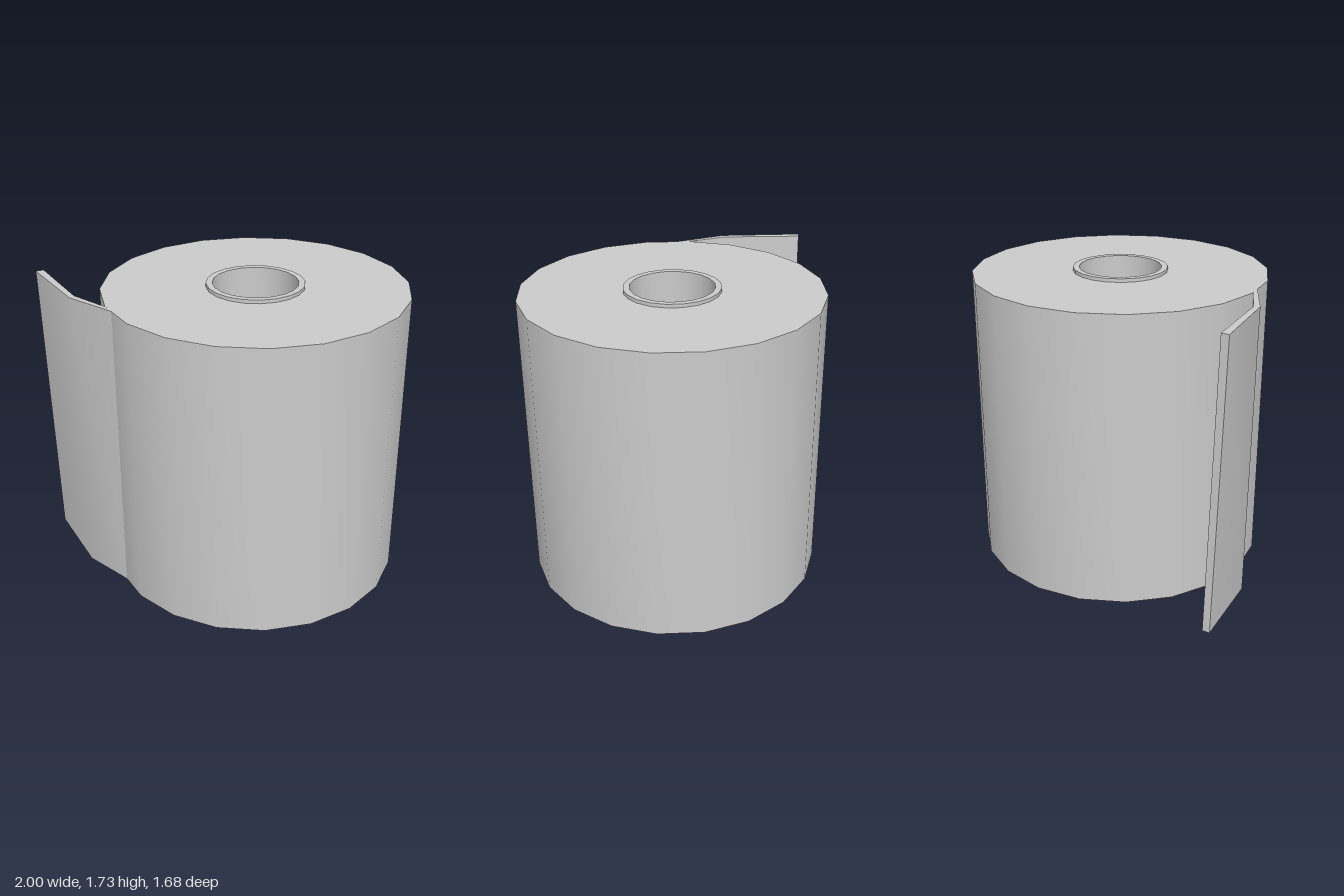
import * as THREE from 'three';
import { toCreasedNormals } from 'three/addons/utils/BufferGeometryUtils.js';

const SIDES = 20, CX = 0.16, BOTTOM = 0.025, TOP = 1.705;

// Regular polygon with a vertex on +x
function ring(radius) {
  return Array.from({ length: SIDES }, (_, i) => {
    const a = (i / SIDES) * Math.PI * 2;
    return new THREE.Vector2(radius * Math.cos(a), radius * Math.sin(a));
  });
}

// Upright prism from a plan outline, with y of the outline pointing to -z
function prism(outline, hole, y0, y1) {
  const shape = new THREE.Shape(outline);
  if (hole) shape.holes.push(new THREE.Path(hole));
  const geo = new THREE.ExtrudeGeometry(shape, { depth: y1 - y0, bevelEnabled: false });
  return geo.rotateX(-Math.PI / 2).translate(0, y0, 0);
}

export function createModel() {
  const group = new THREE.Group();
  const material = new THREE.MeshStandardMaterial({ color: 0xcccccc });
  const add = (name, geo, x = 0) => {
    const mesh = new THREE.Mesh(toCreasedNormals(geo, 0.6), material);
    mesh.name = name;
    mesh.position.x = x;
    group.add(mesh);
  };

  // Wound paper and the cardboard tube poking out at both ends
  add('paperRoll', prism(ring(0.84), ring(0.255), BOTTOM, TOP), CX);
  add('cardboardTube', prism(ring(0.27), ring(0.235), 0, 1.725), CX);

  // Loose sheet peeling off the roll, as [x, z] plan points
  const plan = [
    [-0.264, 0.715], [-0.573, 0.68], [-1, 0.465],
    [-0.975, 0.428], [-0.57, 0.645], [-0.334, 0.68],
  ];
  const sheet = prism(plan.map(([x, z]) => new THREE.Vector2(x, -z)), null, BOTTOM, TOP);

  // The lower edge leans in towards the roll, most at the free end
  const p = sheet.attributes.position;
  for (let i = 0; i < p.count; i++) {
    const reach = THREE.MathUtils.clamp((-0.334 - p.getX(i)) / 0.666, 0, 1);
    const lean = reach * (TOP - p.getY(i)) / (TOP - BOTTOM);
    p.setX(i, p.getX(i) + 0.015 * lean);
    p.setZ(i, p.getZ(i) - 0.033 * lean);
  }
  add('looseSheet', sheet);

  return group;
}
